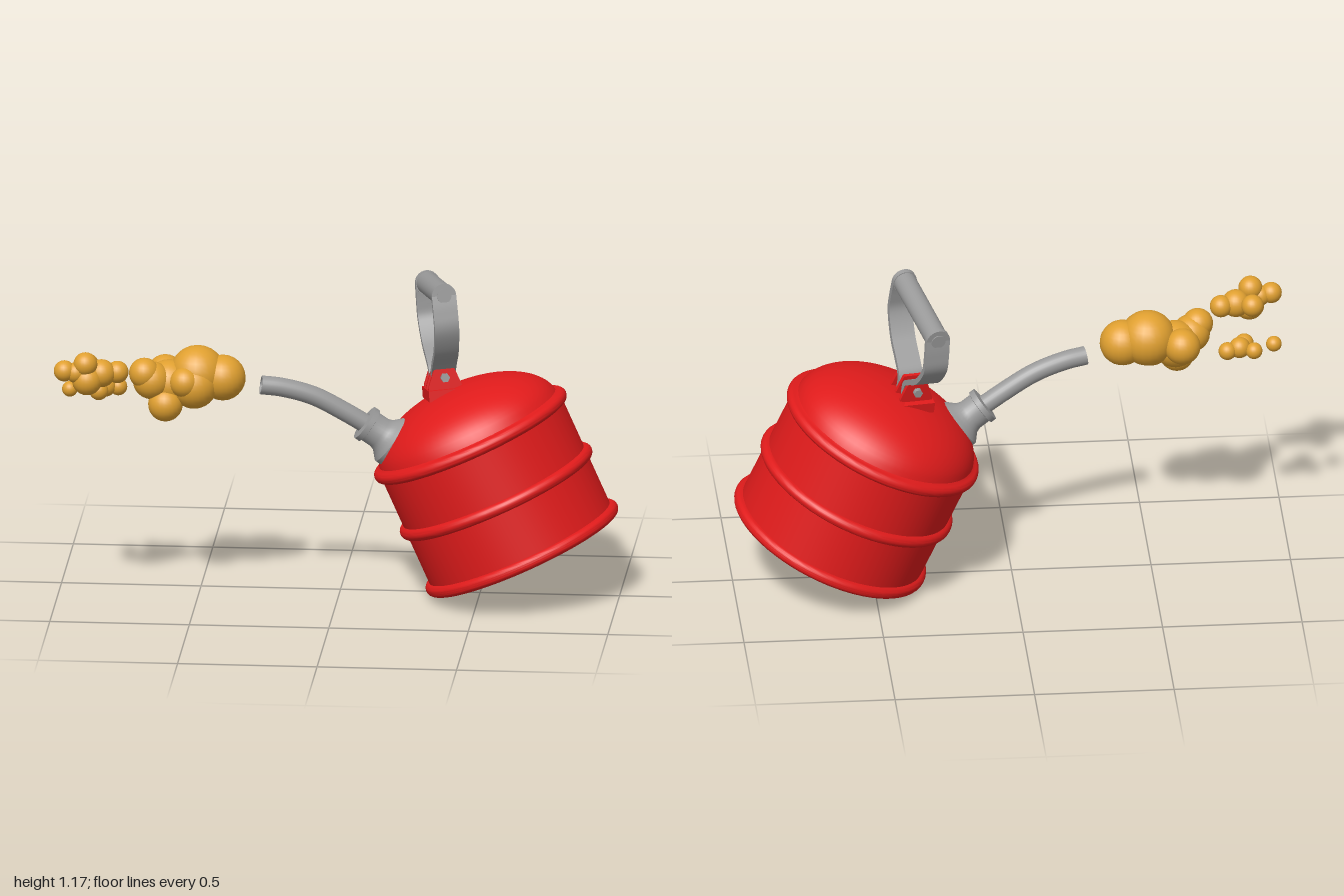
import * as THREE from 'three';
import { toCreasedNormals } from 'three/addons/utils/BufferGeometryUtils.js';

const V = (x, y, z) => new THREE.Vector3(x, y, z);
const red = new THREE.MeshStandardMaterial({ color: 0xe01b1b, side: THREE.DoubleSide });
const grey = new THREE.MeshStandardMaterial({ color: 0x9a9a9a, side: THREE.DoubleSide });
const amber = new THREE.MeshStandardMaterial({ color: 0xe0a030 });

function part(parent, name, geometry, material, x = 0, y = 0, z = 0) {
  const mesh = new THREE.Mesh(geometry, material);
  mesh.name = name;
  mesh.position.set(x, y, z);
  parent.add(mesh);
  return mesh;
}

function lathe(points, segments = 64) {
  const g = new THREE.LatheGeometry(points.map(([r, y]) => new THREE.Vector2(r, y)), segments);
  return toCreasedNormals(g, 0.6);
}

// Group whose local y axis points along dir
function axisGroup(name, origin, dir) {
  const g = new THREE.Group();
  g.name = name;
  g.position.copy(origin);
  g.quaternion.setFromUnitVectors(V(0, 1, 0), dir.clone().normalize());
  return g;
}

// Open-bottomed can with three rolled beads and a domed top
function makeCan() {
  const can = axisGroup('can', V(0.65, 0.18, 0), V(-0.415, 0.91, -0.05));
  const profile = [];
  for (const t of [0, 0.226, 0.45]) {
    for (let i = 0; i <= 10; i++) {
      const a = -Math.PI / 2 + (Math.PI * i) / 10;
      profile.push([0.353 + 0.022 * Math.cos(a), t + 0.022 * Math.sin(a)]);
    }
  }
  for (let i = 0; i <= 16; i++) {
    const a = 0.12 + (Math.PI / 2 - 0.12) * (i / 16);
    profile.push([Math.max(0.347 * Math.cos(a), 0), 0.455 + 0.182 * Math.sin(a)]);
  }
  part(can, 'canBody', lathe(profile), red);
  return can;
}

// Flared collar with a bent, open pipe
function makeSpout() {
  const spout = new THREE.Group();
  spout.name = 'spout';
  const collar = axisGroup('spoutCollar', V(0.18, 0.585, 0.045), V(-0.81, 0.585, 0.1));
  part(collar, 'collar', lathe([
    [0.092, -0.04], [0.092, 0], [0.08, 0.012], [0.064, 0.028], [0.058, 0.045],
    [0.058, 0.088], [0.066, 0.09], [0.066, 0.11], [0.036, 0.114],
  ], 32), grey);
  spout.add(collar);
  const path = new THREE.CatmullRomCurve3([
    V(0.11, 0.635, 0.054), V(0.02, 0.692, 0.068), V(-0.09, 0.753, 0.085),
    V(-0.2, 0.787, 0.104), V(-0.275, 0.798, 0.117),
  ]);
  part(spout, 'pipe', new THREE.TubeGeometry(path, 32, 0.034, 24), grey);
  part(spout, 'pipeBore', new THREE.TubeGeometry(path, 32, 0.027, 24), grey);
  // Rim closing the pipe wall at the tip
  const rim = part(spout, 'pipeRim', new THREE.RingGeometry(0.027, 0.034, 24), grey, -0.275, 0.798, 0.117);
  rim.quaternion.setFromUnitVectors(V(0, 0, 1), path.getTangentAt(1));
  return spout;
}

// Bent flat bar swept along a side profile
function strapGeometry(side, width, thickness) {
  const curve = new THREE.SplineCurve([
    [0.19, 0.362], [0.199, 0.3], [0.197, 0.235], [0.142, 0.155],
    [0.07, 0.103], [0.028, 0.065], [0.025, 0.01],
  ].map(([x, y]) => new THREE.Vector2(x * side, y)));
  const outer = [], inner = [];
  const n = 28;
  for (let i = 0; i <= n; i++) {
    const p = curve.getPointAt(i / n), t = curve.getTangentAt(i / n);
    const off = new THREE.Vector2(-t.y, t.x).multiplyScalar(thickness / 2);
    outer.push(p.clone().add(off));
    inner.unshift(p.clone().sub(off));
  }
  const g = new THREE.ExtrudeGeometry(new THREE.Shape([...outer, ...inner]), { depth: width, bevelEnabled: false });
  g.translate(0, 0, -width / 2);
  return toCreasedNormals(g, 0.6);
}

// Handle frame: x along the grip, y up the handle
function makeHandle() {
  const handle = new THREE.Group();
  handle.name = 'handle';
  const w = V(0.233, 0.155, 0.959).normalize();
  const h = V(-0.09, 0.985, -0.14);
  h.addScaledVector(w, -h.dot(w)).normalize();
  handle.quaternion.setFromRotationMatrix(new THREE.Matrix4().makeBasis(w, h, w.clone().cross(h)));
  handle.position.set(0.365, 0.75, -0.045);

  const rod = (name, r, length, x, y, sides = 28) => {
    const g = new THREE.CylinderGeometry(r, r, length, sides).rotateZ(Math.PI / 2);
    return part(handle, name, g, grey, x, y, 0);
  };
  rod('grip', 0.041, 0.38, 0, 0.362);
  for (const side of [-1, 1]) {
    part(handle, 'strap', strapGeometry(side, 0.088, 0.02), grey);
    rod('strapEnd', 0.044, 0.02, side * 0.19, 0.362);
    rod('gripCap', 0.026, 0.008, side * 0.2, 0.362);
    rod('boltHead', 0.017, 0.016, side * 0.066, 0.05, 6);
  }
  rod('pivotBolt', 0.011, 0.13, 0, 0.05, 16);

  // Mounting bracket: base with trapezoid lugs
  part(handle, 'bracketBase', new THREE.BoxGeometry(0.16, 0.04, 0.13), red, 0, -0.012, 0);
  const lug = new THREE.Shape([[-0.065, -0.03], [0.065, -0.03], [0.06, 0.02], [0.035, 0.085], [-0.035, 0.085], [-0.06, 0.02]]
    .map(([x, y]) => new THREE.Vector2(x, y)));
  const lugGeometry = new THREE.ExtrudeGeometry(lug, { depth: 0.014, bevelEnabled: false })
    .translate(0, 0, -0.007).rotateY(Math.PI / 2);
  for (const x of [-0.05, 0, 0.05]) part(handle, 'bracketLug', lugGeometry, red, x, 0, 0);
  return handle;
}

// Puffs drifting from the spout: x, y, z, radius
function makePuffs() {
  const puffs = new THREE.Group();
  puffs.name = 'puffs';
  const balls = [
    // large cloud
    [-0.41, 0.83, 0.145, 0.082], [-0.5, 0.845, 0.145, 0.1], [-0.51, 0.81, 0.18, 0.085],
    [-0.6, 0.81, 0.16, 0.085], [-0.62, 0.83, 0.095, 0.065], [-0.66, 0.83, 0.2, 0.068],
    [-0.61, 0.745, 0.21, 0.062], [-0.685, 0.86, 0.215, 0.055], [-0.54, 0.83, 0.22, 0.055],
    // upper small cloud
    [-0.96, 0.902, 0.355, 0.038], [-0.885, 0.927, 0.35, 0.043], [-0.88, 0.865, 0.34, 0.054],
    [-0.885, 0.9, 0.26, 0.04], [-0.83, 0.885, 0.315, 0.05], [-0.775, 0.885, 0.295, 0.04],
    [-0.92, 0.895, 0.35, 0.037],
    // lower small cloud
    [-0.88, 0.785, 0.13, 0.03], [-0.85, 0.785, 0.195, 0.034], [-0.83, 0.79, 0.15, 0.038],
    [-0.785, 0.785, 0.135, 0.032],
    // stray droplet
    [-0.955, 0.785, 0.18, 0.028],
  ];
  for (const [x, y, z, r] of balls) part(puffs, 'puff', new THREE.SphereGeometry(r, 24, 16), amber, x, y, z);
  return puffs;
}

export function createModel() {
  const model = new THREE.Group();
  model.name = 'pouringCan';
  model.add(makeCan(), makeSpout(), makeHandle(), makePuffs());
  return model;
}
